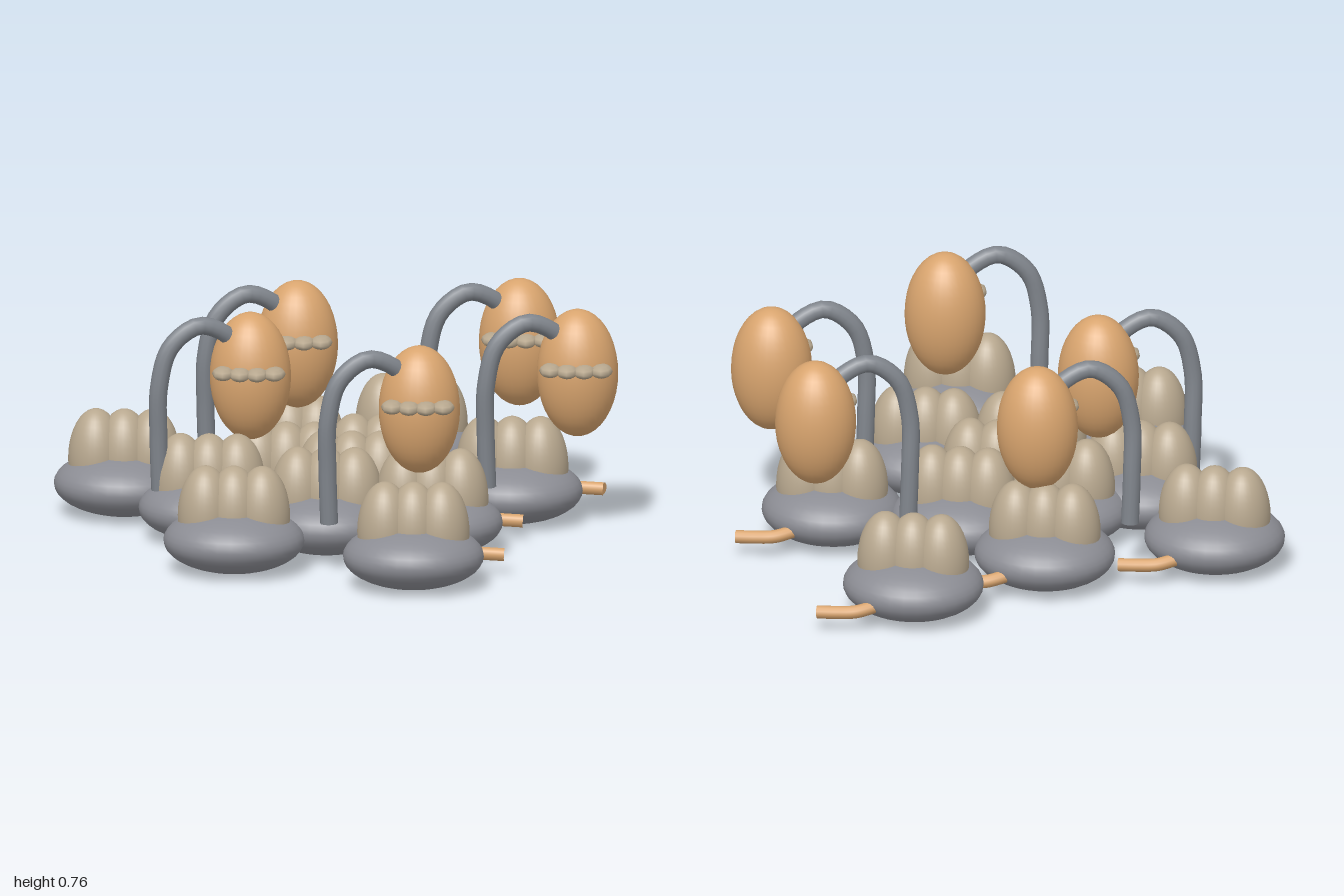
import * as THREE from 'three';

const mat = (name, color) => {
  const m = new THREE.MeshStandardMaterial({ color });
  m.name = name;
  return m;
};

export function createModel() {
  const grey = mat('stone grey', 0x8b8c93);
  const slate = mat('slate grey', 0x80858c);
  const tan = mat('sand', 0xb8a88f);
  const orange = mat('light orange', 0xd8a46e);

  const add = (parent, name, geo, material, pos = [0, 0, 0], scale = [1, 1, 1]) => {
    const mesh = new THREE.Mesh(geo, material);
    mesh.name = name;
    mesh.position.set(...pos);
    mesh.scale.set(...scale);
    parent.add(mesh);
    return mesh;
  };

  // Tube along a smooth path, closed with flat discs at both ends
  const curveOf = (pts) => new THREE.CatmullRomCurve3(pts.map((p) => new THREE.Vector3(...p)));
  const addTube = (parent, name, curve, radius, material) => {
    add(parent, name, new THREE.TubeGeometry(curve, 28, radius, 12), material);
    [0, 1].forEach((t) => {
      const cap = add(parent, name + 'End', new THREE.CircleGeometry(radius, 12), material);
      const p = curve.getPoint(t);
      const dir = curve.getTangent(t).multiplyScalar(t ? 1 : -1);
      cap.position.copy(p);
      cap.lookAt(p.clone().add(dir));
    });
  };

  const ball = new THREE.SphereGeometry(1, 32, 20);
  const beakBall = new THREE.SphereGeometry(1, 8, 6);

  const tailCurve = curveOf([
    [0.03, 0.1, -0.12], [0.1, 0.088, -0.165], [0.165, 0.075, -0.195],
    [0.23, 0.07, -0.198], [0.295, 0.067, -0.196],
  ]);
  const neckCurve = curveOf([
    [-0.297, 0.175, 0.105], [-0.302, 0.35, 0.112], [-0.3, 0.53, 0.122], [-0.262, 0.665, 0.112],
    [-0.17, 0.733, 0.085], [-0.09, 0.705, 0.052], [-0.03, 0.64, 0.02],
  ]);

  // Low oval body with three humps and a bent tail
  function makeBody(x, z) {
    const g = new THREE.Group();
    g.name = 'bodyUnit';
    g.position.set(x, 0, z);
    add(g, 'body', ball, grey, [0, 0.107, 0], [0.236, 0.107, 0.217]);
    for (let i = -1; i <= 1; i++) {
      add(g, 'hump', ball, tan, [i * 0.095, 0.19, 0], [0.093, 0.17, 0.098]);
    }
    addTube(g, 'tail', tailCurve, 0.022, orange);
    return g;
  }

  // Egg-shaped head hanging from an arched neck, with a row of beak lobes
  function makeHead(x, z) {
    const g = new THREE.Group();
    g.name = 'headUnit';
    g.position.set(x, 0, z);
    add(g, 'head', ball, orange, [0, 0.545, 0], [0.136, 0.217, 0.126]);
    addTube(g, 'neck', neckCurve, 0.03, slate);
    for (let i = 0; i < 4; i++) {
      const k = i - 1.5;
      add(g, 'beakLobe', beakBall, tan,
        [k * 0.057, 0.578, 0.128 - (Math.abs(k) > 1 ? 0.014 : 0)], [0.038, 0.022, 0.064]);
    }
    return g;
  }

  const model = new THREE.Group();
  model.name = 'flock';

  [
    [0.22, -0.78], [-0.175, -0.455], [-0.715, -0.23], [0.15, -0.195],
    [0.585, -0.185], [-0.165, -0.07], [-0.415, 0.115], [0.06, 0.05],
    [-0.015, 0.29], [0.34, 0.29], [-0.31, 0.575], [0.3, 0.777],
  ].forEach(([x, z]) => model.add(makeBody(x, z)));

  [
    [-0.145, -0.42], [0.595, -0.485], [-0.28, 0.045], [0.81, -0.05], [0.307, 0.5],
  ].forEach(([x, z]) => model.add(makeHead(x, z)));

  return model;
}
